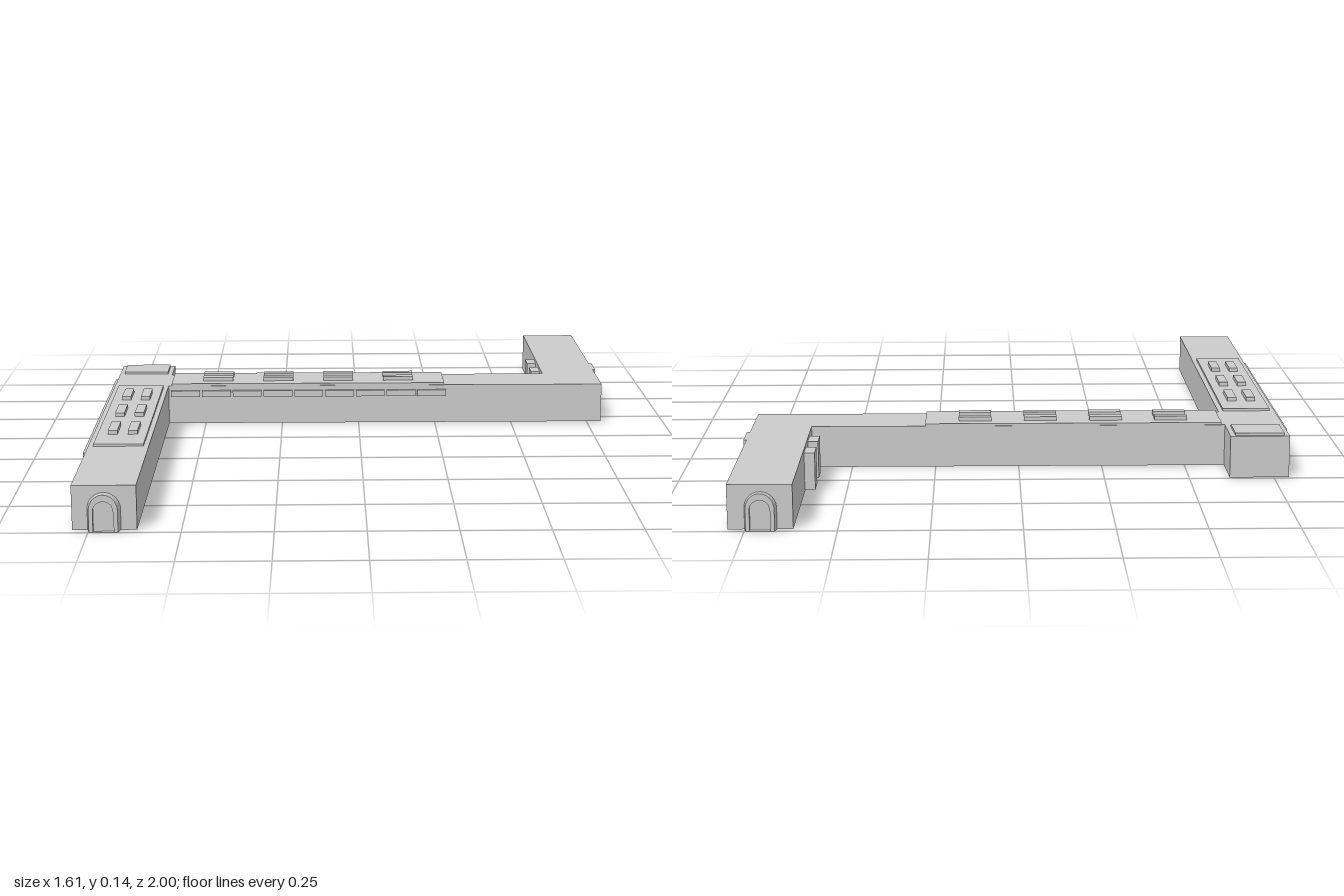
import * as THREE from 'three';

const material = new THREE.MeshStandardMaterial({ color: 0xcccccc, flatShading: true });

function add(parent, name, geometry) {
  const mesh = new THREE.Mesh(geometry, material);
  mesh.name = name;
  parent.add(mesh);
  return mesh;
}

// Box given by its min and max on each axis
function box(parent, name, [x0, x1], [y0, y1], [z0, z1]) {
  const mesh = add(parent, name, new THREE.BoxGeometry(x1 - x0, y1 - y0, z1 - z0));
  mesh.position.set((x0 + x1) / 2, (y0 + y1) / 2, (z0 + z1) / 2);
  return mesh;
}

// Round-topped outline standing on y = 0
function arch(PathType, width, height) {
  const r = width / 2;
  const path = new PathType();
  path.moveTo(-r, 0);
  path.lineTo(r, 0);
  path.lineTo(r, height - r);
  path.absarc(0, height - r, r, 0, Math.PI, false);
  path.lineTo(-r, 0);
  return path;
}

// Arched doorway, built facing +z from its wall plane
function doorway(name) {
  const door = new THREE.Group();
  door.name = name;
  const frame = arch(THREE.Shape, 0.09, 0.105);
  frame.holes.push(arch(THREE.Path, 0.056, 0.086));
  const frameGeo = new THREE.ExtrudeGeometry(frame, { depth: 0.025, bevelEnabled: false, curveSegments: 10 });
  // the frame narrows slightly outward
  const p = frameGeo.attributes.position;
  for (let i = 0; i < p.count; i++) {
    if (p.getZ(i) > 0.01 && Math.hypot(p.getX(i), Math.max(0, p.getY(i) - 0.06)) > 0.035) p.setX(i, p.getX(i) * 0.87);
  }
  frameGeo.computeVertexNormals();
  add(door, 'doorFrame', frameGeo);
  add(door, 'doorLeaf', new THREE.ExtrudeGeometry(arch(THREE.Shape, 0.058, 0.087),
    { depth: 0.012, bevelEnabled: false, curveSegments: 10 }));
  return door;
}

export function createModel() {
  const model = new THREE.Group();
  model.name = 'corridorBuilding';
  const roof = 0.125;

  // Z-shaped corridor body, outline as [x, z]
  const outline = [[-0.795, 0.975], [-0.62, 0.975], [-0.62, -0.19], [0.797, -0.19], [0.797, -0.98],
    [0.62, -0.98], [0.62, -0.35], [-0.62, -0.35], [-0.62, -0.49], [-0.795, -0.49]];
  const shape = new THREE.Shape(outline.map(([x, z]) => new THREE.Vector2(x, -z)));
  const body = new THREE.ExtrudeGeometry(shape, { depth: roof, bevelEnabled: false });
  body.rotateX(-Math.PI / 2);
  add(model, 'corridorBody', body);

  // Raised roof panels
  const panelY = [roof, 0.132];
  box(model, 'leftRoofPanel', [-0.78, -0.635], panelY, [-0.175, 0.57]);
  box(model, 'cornerRoofPanel', [-0.78, -0.635], panelY, [-0.48, -0.37]);
  box(model, 'middleRoofPanel', [-0.61, 0.28], panelY, [-0.349, -0.191]);

  // Paired roof vents
  const ventY = [0.132, 0.144];
  for (const z of [-0.02, 0.193, 0.407]) {
    for (const x of [-0.735, -0.676]) {
      box(model, 'leftRoofVent', [x - 0.014, x + 0.014], ventY, [z - 0.053, z + 0.053]);
    }
  }
  for (let i = 0; i < 4; i++) {
    const x = -0.46 + i * 0.197;
    for (const z of [-0.302, -0.243]) {
      box(model, 'middleRoofVent', [x - 0.049, x + 0.049], ventY, [z - 0.014, z + 0.014]);
    }
  }

  // Row of windows along the middle corridor
  for (let i = 0; i < 9; i++) {
    const x = -0.612 + i * 0.1005;
    box(model, 'window', [x, x + 0.094], [0.09, 0.11], [-0.19, -0.18]);
  }

  // Long panel on the outer side of the left arm
  box(model, 'sidePanel', [-0.808, -0.795], [0.005, 0.11], [-0.35, 0.588]);

  // Arched doorways at both ends
  const frontDoor = doorway('frontDoorway');
  frontDoor.position.set(-0.708, 0, 0.975);
  const backDoor = doorway('backDoorway');
  backDoor.rotation.y = Math.PI;
  backDoor.position.set(0.707, 0, -0.975);
  model.add(frontDoor, backDoor);

  // Cabinets on the inner side of the right arm
  for (const z of [-0.583, -0.457]) {
    box(model, 'cabinet', [0.59, 0.62], [0.005, 0.115], [z - 0.033, z + 0.033]);
  }

  // Double door with small handles on the outer side of the right arm
  for (const z of [-0.478, -0.432]) {
    box(model, 'sideDoorLeaf', [0.797, 0.802], [0, 0.122], [z - 0.022, z + 0.022]);
  }
  box(model, 'sideDoorLintel', [0.797, 0.806], [0.118, 0.125], [-0.502, -0.408]);
  for (const z of [-0.5, -0.41]) {
    box(model, 'sideDoorPost', [0.797, 0.806], [0, 0.118], [z - 0.003, z + 0.003]);
  }
  for (const y of [0.038, 0.085]) {
    for (const z of [-0.466, -0.44]) {
      box(model, 'doorHandle', [0.802, 0.806], [y - 0.003, y + 0.003], [z - 0.006, z + 0.006]);
    }
  }
  return model;
}
